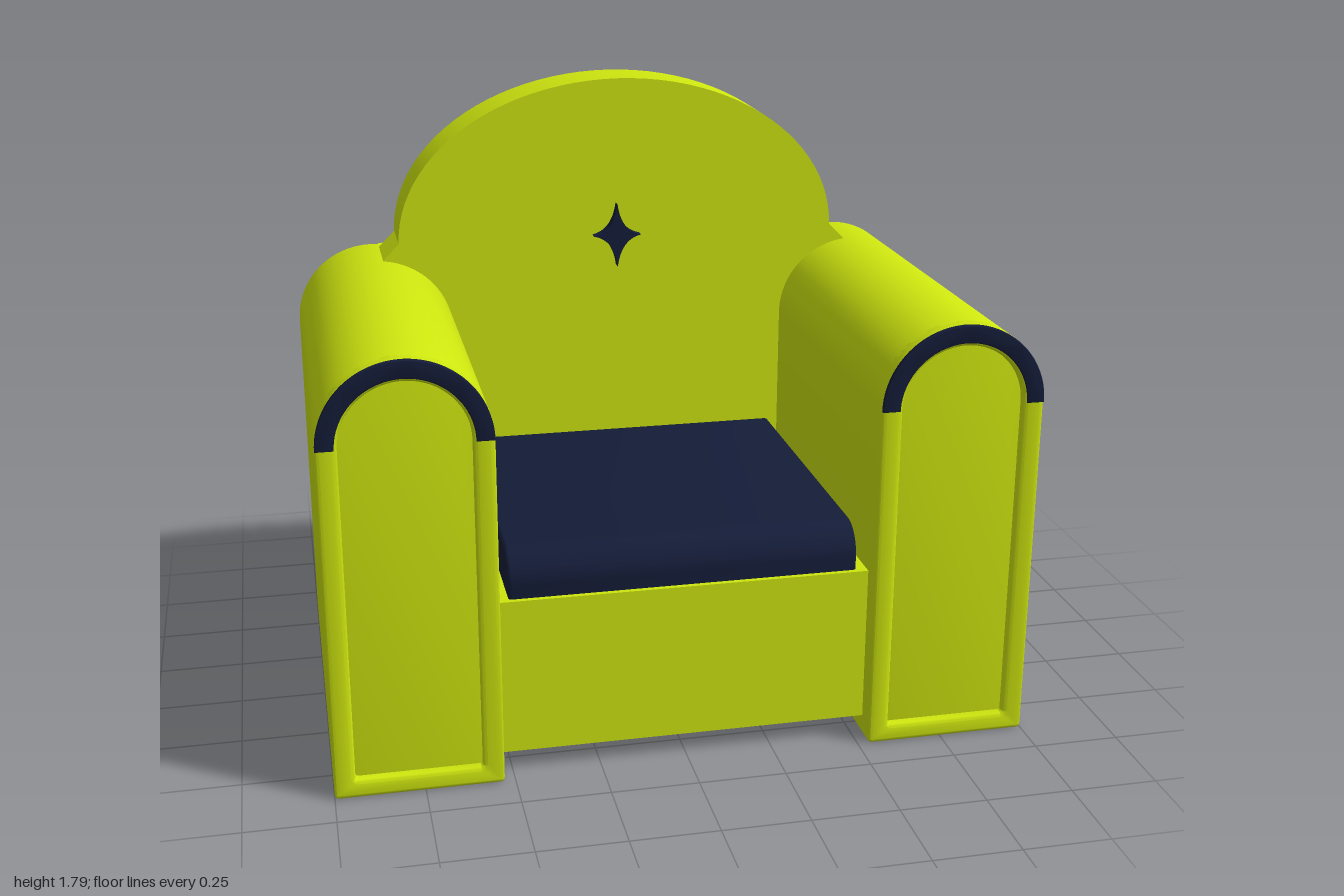
import * as THREE from 'three';
import { toCreasedNormals } from 'three/addons/utils/BufferGeometryUtils.js';

const lime = new THREE.MeshStandardMaterial({ color: 0xcde50f });
const navy = new THREE.MeshStandardMaterial({ color: 0x141c38 });

function addMesh(parent, name, geometry, material) {
  const mesh = new THREE.Mesh(toCreasedNormals(geometry, 0.6), material);
  mesh.name = name;
  parent.add(mesh);
  return mesh;
}

// Extrude a shape from z0 to z1, keeping its outline, with rounded edges
function slab(shape, z0, z1, bevel = 0) {
  const g = new THREE.ExtrudeGeometry(shape, {
    depth: z1 - z0 - 2 * bevel, curveSegments: 32,
    bevelEnabled: bevel > 0, bevelSize: bevel, bevelThickness: bevel,
    bevelOffset: -bevel, bevelSegments: 3,
  });
  return g.translate(0, 0, z0 + bevel);
}

// Arched outline, centred on x = 0, with small rounded bottom corners
function archOutline(path, halfWidth, bottom, springY, corner) {
  path.moveTo(halfWidth - corner, bottom);
  path.quadraticCurveTo(halfWidth, bottom, halfWidth, bottom + corner);
  path.lineTo(halfWidth, springY);
  path.absarc(0, springY, halfWidth, 0, Math.PI, false);
  path.lineTo(-halfWidth, bottom + corner);
  path.quadraticCurveTo(-halfWidth, bottom, -halfWidth + corner, bottom);
  path.closePath();
  return path;
}

function createArm(name, x) {
  const arm = new THREE.Group();
  arm.name = name;
  const r = 0.235, springY = 1.015;
  addMesh(arm, 'armBody', slab(archOutline(new THREE.Shape(), r, 0, springY, 0.015), -0.64, 0.612, 0.012), lime);

  // Raised rim around the sunken front panel
  const rim = archOutline(new THREE.Shape(), r, 0, springY, 0.015);
  rim.holes.push(archOutline(new THREE.Path(), 0.176, 0.055, springY, 0.01));
  addMesh(arm, 'armFrontRim', slab(rim, 0.575, 0.638, 0.012), lime);

  // Half-ring trim over the rim
  const trim = new THREE.Shape();
  trim.absarc(0, springY + 0.013, r - 0.013 + 0.012, 0, Math.PI, false);
  trim.absarc(0, springY + 0.013, 0.184, Math.PI, 0, true);
  trim.closePath();
  addMesh(arm, 'armTrim', slab(trim, 0.622, 0.641, 0.003), navy).position.y = -0.012;

  arm.position.x = x;
  return arm;
}

function createBackrest() {
  const back = new THREE.Group();
  back.name = 'backrest';

  // Lower panel between the arms
  const panel = new THREE.Shape([
    [-0.55, 0.005], [0.55, 0.005], [0.55, 1.0], [0.74, 1.25], [-0.74, 1.25], [-0.55, 1.0],
  ].map(([x, y]) => new THREE.Vector2(x, y)));
  addMesh(back, 'backPanel', slab(panel, -0.639, -0.4), lime);

  // Elliptical top with flared feet
  const outline = [new THREE.Vector2(0.74, 1.25)];
  const n = 48;
  for (let i = 0; i <= n; i++) {
    const t = (i / n) * Math.PI;
    outline.push(new THREE.Vector2(0.69 * Math.cos(t), 1.3 + 0.488 * Math.sin(t)));
  }
  outline.push(new THREE.Vector2(-0.74, 1.25));
  addMesh(back, 'backArch', slab(new THREE.Shape(outline), -0.585, -0.4), lime);

  // Sloping rear face from the arch edge down to the panel
  const pos = [];
  const top = (p) => [p.x, p.y, -0.585];
  const low = (p) => [p.x * 0.97, 1.25, -0.639];
  for (let i = 0; i < outline.length - 1; i++) {
    const a = outline[i], b = outline[i + 1];
    pos.push(...top(a), ...low(a), ...top(b), ...top(b), ...low(a), ...low(b));
  }
  const slope = new THREE.BufferGeometry();
  slope.setAttribute('position', new THREE.Float32BufferAttribute(pos, 3));
  addMesh(back, 'backSlope', slope, lime);

  // Four-pointed star ornament
  const star = new THREE.Shape();
  const w = 0.075, h = 0.1, k = 0.012;
  star.moveTo(w, 0);
  star.quadraticCurveTo(k, k, 0, h);
  star.quadraticCurveTo(-k, k, -w, 0);
  star.quadraticCurveTo(-k, -k, 0, -h);
  star.quadraticCurveTo(k, -k, w, 0);
  addMesh(back, 'starOrnament', slab(star, -0.405, -0.367), navy).position.set(-0.01, 1.302, 0);
  return back;
}

function createSeat() {
  const seat = new THREE.Group();
  seat.name = 'seat';
  const base = new THREE.BoxGeometry(1.08, 0.46, 1.0).translate(0, 0.29, 0.075);
  addMesh(seat, 'seatBase', base, lime);

  // Cushion: side profile with a rounded front edge, extruded across the seat
  const profile = new THREE.Shape();
  profile.moveTo(-0.41, 0.515);
  profile.lineTo(0.56, 0.515);
  profile.lineTo(0.56, 0.56);
  profile.absarc(0.47, 0.56, 0.09, 0, Math.PI / 2, false);
  profile.lineTo(-0.41, 0.65);
  profile.closePath();
  addMesh(seat, 'seatCushion', slab(profile, -0.5, 0.5, 0.012).rotateY(-Math.PI / 2), navy);
  return seat;
}

export function createModel() {
  const model = new THREE.Group();
  model.name = 'armchair';
  model.add(createArm('leftArm', 0.765), createArm('rightArm', -0.765));
  model.add(createBackrest(), createSeat());
  return model;
}
